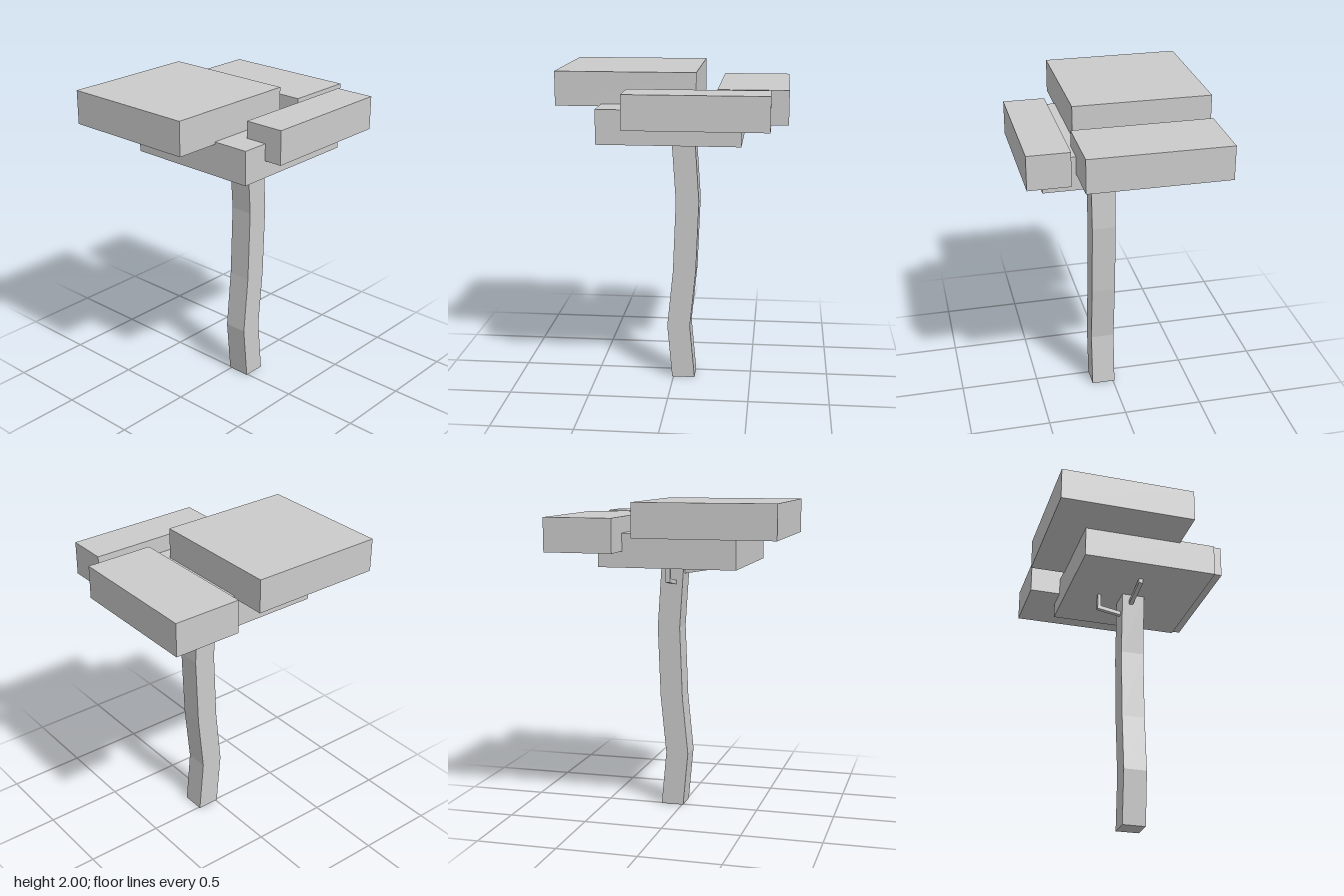
import * as THREE from 'three';

const material = new THREE.MeshStandardMaterial({ color: 0xcccccc, flatShading: true });

export function createModel() {
  const group = new THREE.Group();
  group.name = 'tree';

  const add = (name, geometry) => {
    const mesh = new THREE.Mesh(geometry, material);
    mesh.name = name;
    group.add(mesh);
    return mesh;
  };

  // Box given by its minimum and maximum corners
  const slab = (name, [x0, y0, z0], [x1, y1, z1]) =>
    add(name, new THREE.BoxGeometry(x1 - x0, y1 - y0, z1 - z0))
      .position.set((x0 + x1) / 2, (y0 + y1) / 2, (z0 + z1) / 2);

  // Flat outline thickened along z
  const prism = (points, depth) => new THREE.ExtrudeGeometry(
    new THREE.Shape(points.map(([x, y]) => new THREE.Vector2(x, y))),
    { depth, bevelEnabled: false });

  // Foliage: a low central slab with three others overlapping it
  slab('foliageBase', [-0.43, 1.595, -0.375], [0.435, 1.805, 0.49]);
  slab('foliageTop', [-0.715, 1.79, -0.605], [0.15, 2, 0.255]);
  slab('foliageLeft', [0.28, 1.695, -0.575], [0.71, 1.905, 0.29]);
  slab('foliageFront', [-0.26, 1.7, 0.35], [0.605, 1.91, 0.605]);

  // Trunk: square section whose centre sways sideways, as [x, y]
  const spine = [[0.065, 0], [0.033, 0.35], [0.07, 0.72], [0.088, 1.18], [0.06, 1.6]];
  const half = 0.073;
  const trunkOutline = [
    ...spine.map(([x, y]) => [x + half, y]),
    ...spine.map(([x, y]) => [x - half, y]).reverse(),
  ];
  add('trunk', prism(trunkOutline, 0.15)).position.z = -0.01;

  // Side twig, bending up into the foliage
  add('rightTwig', prism([
    [0.02, 1.522], [0.02, 1.548], [-0.2, 1.587], [-0.2, 1.6], [-0.238, 1.6], [-0.238, 1.566],
  ], 0.028)).position.z = 0.035;

  // Back twig, with its outline turned to run towards -z
  add('backTwig', prism([
    [-0.02, 1.456], [0.168, 1.488], [0.168, 1.6], [0.145, 1.6], [0.145, 1.511], [-0.02, 1.482],
  ], 0.028).rotateY(Math.PI / 2)).position.x = 0.035;

  return group;
}
